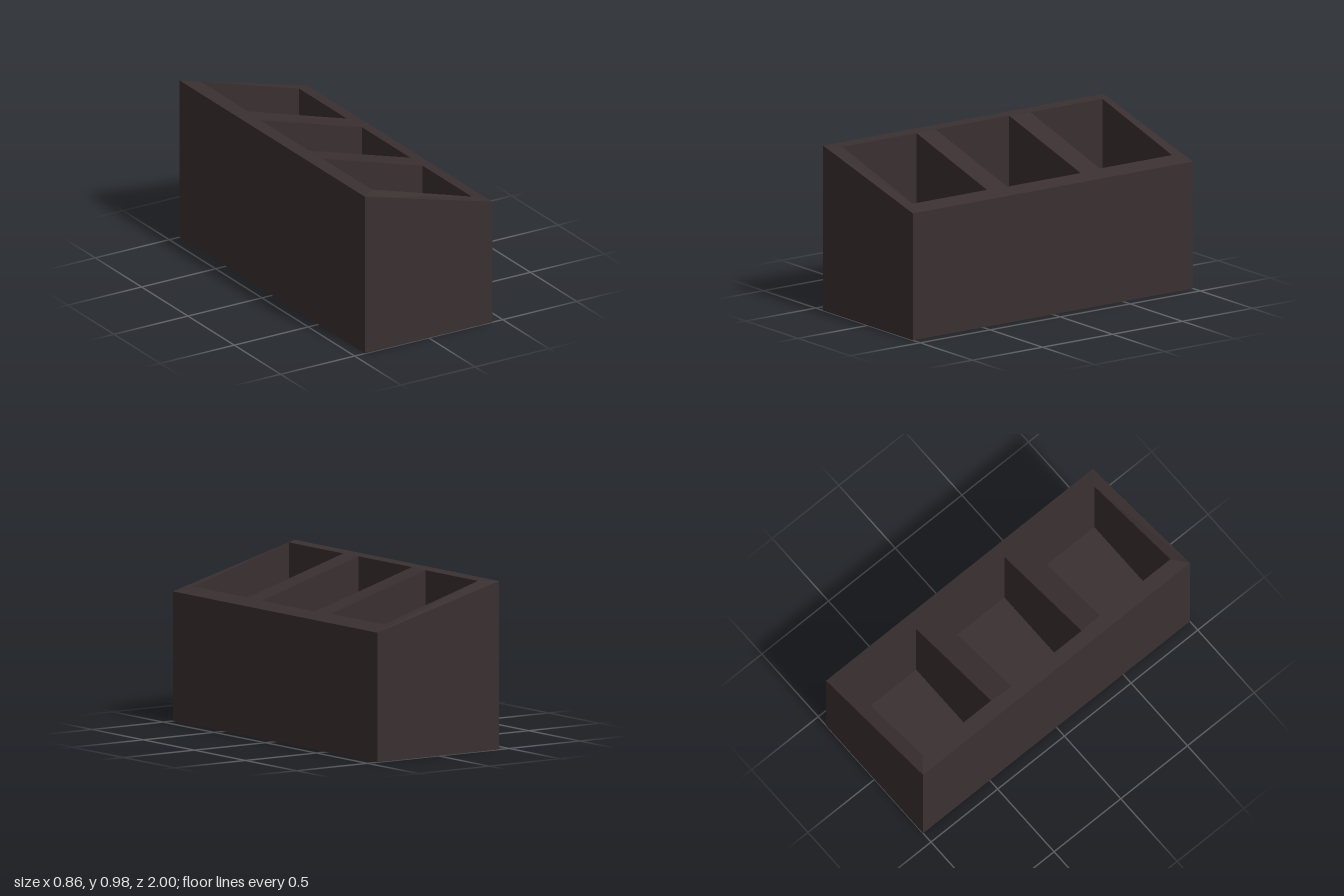
import * as THREE from 'three';

const HALF_X = 0.43, TOP = 0.975, LOW = 0.75, FLOOR = 0.1;

// Compartments as [xMin, xMax, zMin, zMax]
const POCKETS = [
  [-0.335, 0.33, -0.925, -0.41],
  [-0.345, 0.34, -0.265, 0.26],
  [-0.34, 0.335, 0.4, 0.93],
];

function outline(target, x0, x1, z0, z1) {
  target.moveTo(x0, -z1);
  target.lineTo(x1, -z1);
  target.lineTo(x1, -z0);
  target.lineTo(x0, -z0);
  target.closePath();
  return target;
}

// Rim height: level along the tall side, then falling to the low side
function rimHeight(x) {
  const start = -0.335;
  return TOP - (TOP - LOW) * Math.max(0, x - start) / (HALF_X - start);
}

export function createModel() {
  const group = new THREE.Group();
  group.name = 'deskOrganizer';
  const material = new THREE.MeshStandardMaterial({ color: 0x3a3031 });
  material.name = 'dark brown';

  // Walls and dividers: a pierced block with its top pulled to the sloping rim
  const shape = outline(new THREE.Shape(), -HALF_X, HALF_X, -1, 1);
  for (const p of POCKETS) shape.holes.push(outline(new THREE.Path(), ...p));
  const geometry = new THREE.ExtrudeGeometry(shape, { depth: 1, bevelEnabled: false });
  geometry.rotateX(-Math.PI / 2);
  const pos = geometry.attributes.position;
  for (let i = 0; i < pos.count; i++) {
    pos.setY(i, pos.getY(i) > 0.5 ? rimHeight(pos.getX(i)) : 0);
  }
  geometry.computeVertexNormals();
  const body = new THREE.Mesh(geometry, material);
  body.name = 'body';
  group.add(body);

  // Compartment floors
  for (const [x0, x1, z0, z1] of POCKETS) {
    const floor = new THREE.Mesh(new THREE.BoxGeometry(x1 - x0, FLOOR, z1 - z0), material);
    floor.position.set((x0 + x1) / 2, FLOOR / 2, (z0 + z1) / 2);
    floor.name = 'compartmentFloor';
    group.add(floor);
  }
  return group;
}
